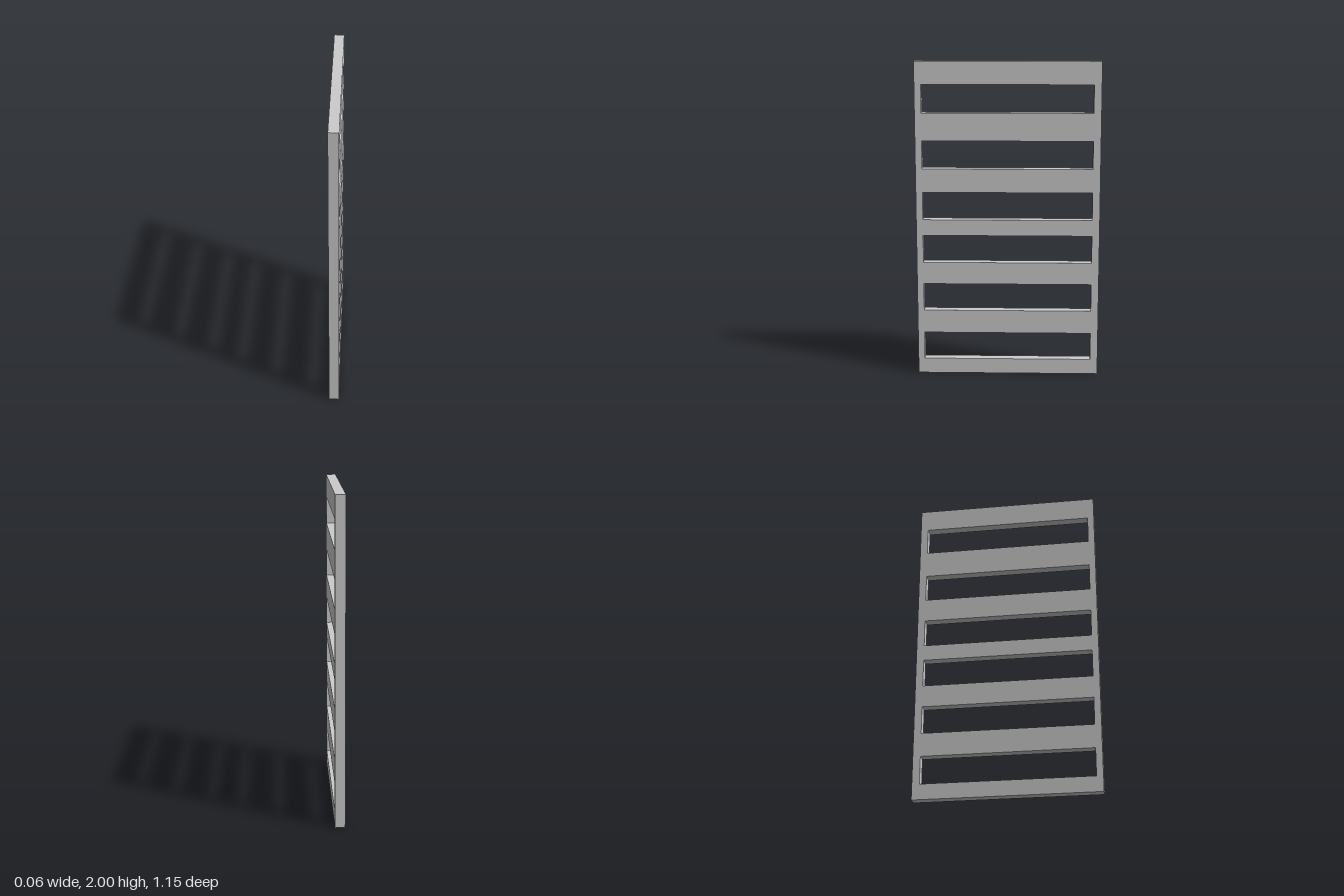
import * as THREE from 'three';

const HEIGHT = 2, HALF_WIDTH = 0.575, THICKNESS = 0.062;
const SLOT_HEIGHT = 0.175, SLOT_BACK = -0.528, SLOT_FRONT = 0.534;
const SLOT_BOTTOMS = [0.097, 0.42, 0.735, 1.011, 1.335, 1.683];

// Traces an axis-aligned rectangle on a shape or path
function rectangle(path, x0, y0, x1, y1) {
  path.moveTo(x0, y0);
  path.lineTo(x1, y0);
  path.lineTo(x1, y1);
  path.lineTo(x0, y1);
  path.closePath();
  return path;
}

export function createModel() {
  const group = new THREE.Group();
  group.name = 'slattedPanel';

  // Panel outline with one window between each pair of slats
  const outline = rectangle(new THREE.Shape(), -HALF_WIDTH, 0, HALF_WIDTH, HEIGHT);
  for (const y of SLOT_BOTTOMS) {
    outline.holes.push(rectangle(new THREE.Path(), SLOT_BACK, y, SLOT_FRONT, y + SLOT_HEIGHT));
  }

  // Extrude, centre the thickness and turn the width along z
  const geometry = new THREE.ExtrudeGeometry(outline, { depth: THICKNESS, bevelEnabled: false });
  geometry.translate(0, 0, -THICKNESS / 2);
  geometry.rotateY(-Math.PI / 2);

  const panel = new THREE.Mesh(geometry, new THREE.MeshStandardMaterial({ color: 0xcccccc }));
  panel.name = 'panel';
  group.add(panel);
  return group;
}
